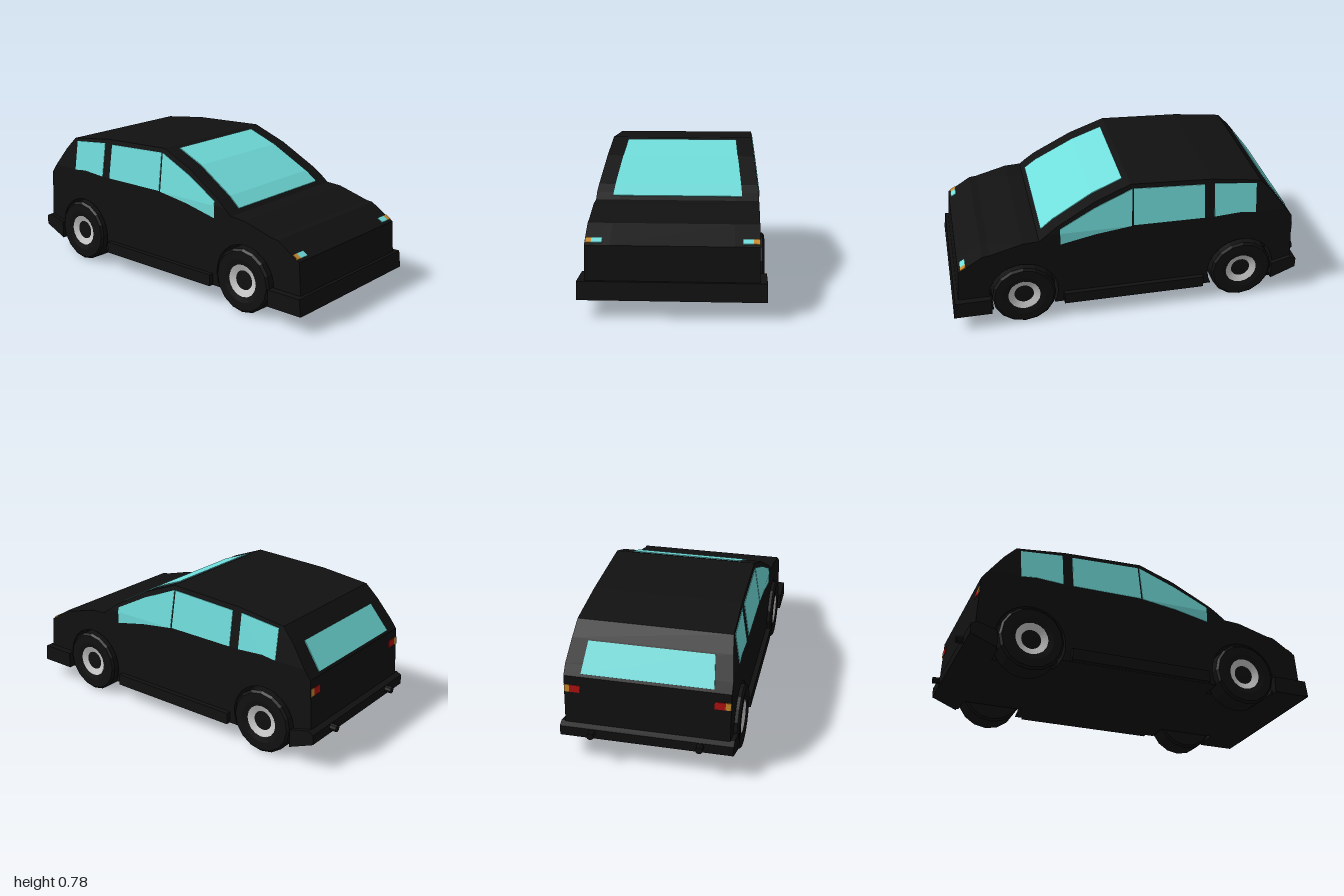
import * as THREE from 'three';

const mat = (color) => new THREE.MeshStandardMaterial({ color, flatShading: true });
const BLACK = mat(0x111111);
const GLASS = mat(0x70dedc);
const AMBER = mat(0xc98a2b);
const RED = mat(0xb01212);
const RIM = new THREE.MeshStandardMaterial({ color: 0xcccccc });

const BELT = 0.54; // height above which the sides lean inwards

// Extrude a (z, y) outline across the car from x0 to x1.
function prism(outline, x0, x1) {
  const shape = Array.isArray(outline)
    ? new THREE.Shape(outline.map(([z, y]) => new THREE.Vector2(z, y)))
    : outline;
  const g = new THREE.ExtrudeGeometry(shape, { depth: x1 - x0, bevelEnabled: false, curveSegments: 10 });
  g.rotateY(-Math.PI / 2);
  g.translate(x1, 0, 0);
  const p = g.attributes.position;
  for (let i = 0; i < p.count; i++) {
    const lean = Math.max(0, p.getY(i) - BELT) * 0.154;
    p.setX(i, p.getX(i) - Math.sign(p.getX(i)) * lean);
  }
  g.computeVertexNormals();
  return g;
}

// Thin strip lying on a (z, y) path, raised by (dz, dy).
const strip = (path, dz, dy, x0, x1) =>
  prism([...path, ...path.map(([z, y]) => [z + dz, y + dy]).reverse()], x0, x1);

export function createModel() {
  const car = new THREE.Group();
  car.name = 'car';
  const add = (name, geometry, material = BLACK, parent = car) => {
    const mesh = new THREE.Mesh(geometry, material);
    mesh.name = name;
    parent.add(mesh);
    return mesh;
  };

  const axles = [0.607, -0.637];
  const wheelY = 0.177;

  // Lower body: a solid middle and two flanks with wheel arches
  const upperEdge = [
    [0.97, 0.09], [0.97, 0.18], [0.955, 0.36], [0.82, 0.445], [0.78, 0.45], [0.6, 0.5],
    [0.51, 0.505], [0.465, BELT], [-0.8825, BELT], [-0.92, 0.49], [-0.935, 0.21], [-0.82, 0.09],
  ];
  add('lowerBody', prism(upperEdge, -0.31, 0.31));
  const flank = new THREE.Shape(upperEdge.map(([z, y]) => new THREE.Vector2(z, y)));
  const archR = 0.192;
  const half = Math.asin((wheelY - 0.09) / archR);
  for (const z of [...axles].reverse()) {
    flank.lineTo(z - archR * Math.cos(half), 0.09);
    flank.absarc(z, wheelY, archR, Math.PI + half, -half, true);
  }
  add('leftFlank', prism(flank, 0.31, 0.437));
  add('rightFlank', prism(flank, -0.437, -0.31));

  // Cabin with leaning sides
  add('cabin', prism([
    [0.465, BELT], [0.42, 0.575], [0.2, 0.7], [0, 0.78], [-0.45, 0.76],
    [-0.73, 0.725], [-0.8, 0.65], [-0.8825, BELT],
  ], -0.437, 0.437));

  // Bumpers and sills
  const front = add('frontBumper', prism([[0.79, 0.09], [1, 0.09], [0.988, 0.183], [0.79, 0.183]], -0.475, 0.475));
  front.geometry.computeBoundingBox();
  add('rearBumper', prism([[-0.82, 0.09], [-0.82, 0.19], [-0.93, 0.22], [-0.963, 0.205], [-0.963, 0.15]], -0.46, 0.46));
  for (const s of [-1, 1]) {
    const sill = add('sill', new THREE.BoxGeometry(0.04, 0.065, 0.8));
    sill.position.set(s * 0.445, 0.1235, -0.015);
  }

  // Windscreen and rear window
  add('windscreen', strip([[0.488, 0.522], [0.42, 0.575], [0.2, 0.7], [0.03, 0.768]], 0.002, 0.004, -0.347, 0.347), GLASS);
  add('rearWindow', strip([[-0.805, 0.643], [-0.91, 0.503]], -0.004, 0.003, -0.347, 0.347), GLASS);

  // Side windows; the front one is split where the side bends
  const sideWindows = {
    frontSideWindow: [[0.395, BELT], [0.395, 0.566], [0.2, 0.668], [-0.007, 0.754], [0, BELT]],
    frontSideWindowBase: [[0.395, BELT], [0.395, 0.472], [0.2, 0.513], [0, BELT]],
    middleSideWindow: [[-0.016, 0.754], [-0.41, 0.735], [-0.41, BELT], [-0.01, 0.543]],
    rearSideWindow: [[-0.467, 0.735], [-0.705, 0.711], [-0.705, BELT], [-0.62, 0.55], [-0.467, BELT]],
  };
  for (const [name, outline] of Object.entries(sideWindows)) {
    add(name, prism(outline, 0.43, 0.44), GLASS);
    add(name, prism(outline, -0.44, -0.43), GLASS);
  }

  // Lamps: an inner part and an amber outer part on each corner
  const headPath = [[0.941, 0.369], [0.911, 0.388]];
  const tailPath = [[-0.9225, 0.44], [-0.9255, 0.4]];
  const lamp = (name, path, dz, dy, a, b, material) => {
    add(name, strip(path, dz, dy, a, b), material);
    add(name, strip(path, dz, dy, -b, -a), material);
  };
  lamp('headlight', headPath, 0.002, 0.004, 0.35, 0.405, GLASS);
  lamp('frontIndicator', headPath, 0.002, 0.004, 0.405, 0.435, AMBER);
  lamp('tailLight', tailPath, -0.004, 0, 0.352, 0.408, RED);
  lamp('rearIndicator', tailPath, -0.004, 0, 0.408, 0.436, AMBER);

  // Wheels: chamfered tyre, dished rim ring, dark hub
  const lathe = (pts, sides) => new THREE.LatheGeometry(pts.map(([r, h]) => new THREE.Vector2(r, h)), sides);
  const tyre = lathe([[0, 0], [0.165, 0], [0.177, 0.01], [0.177, 0.132], [0.165, 0.143], [0.12, 0.143], [0.09, 0.136]], 16);
  const rim = lathe([[0.09, 0.136], [0.054, 0.122]], 24);
  const hub = lathe([[0.054, 0.122], [0, 0.124]], 24);
  for (const z of axles) {
    for (const s of [-1, 1]) {
      const wheel = new THREE.Group();
      wheel.name = 'wheel';
      add('tyre', tyre, BLACK, wheel);
      add('rim', rim, RIM, wheel);
      add('hub', hub, BLACK, wheel);
      wheel.position.set(s * 0.32, wheelY, z);
      wheel.rotation.z = -s * Math.PI / 2;
      car.add(wheel);
    }
  }

  // Exhaust pipes
  for (const s of [-1, 1]) {
    const pipe = add('exhaustPipe', new THREE.CylinderGeometry(0.02, 0.02, 0.08, 8));
    pipe.rotation.x = Math.PI / 2;
    pipe.position.set(s * 0.287, 0.184, -0.96);
  }

  return car;
}
